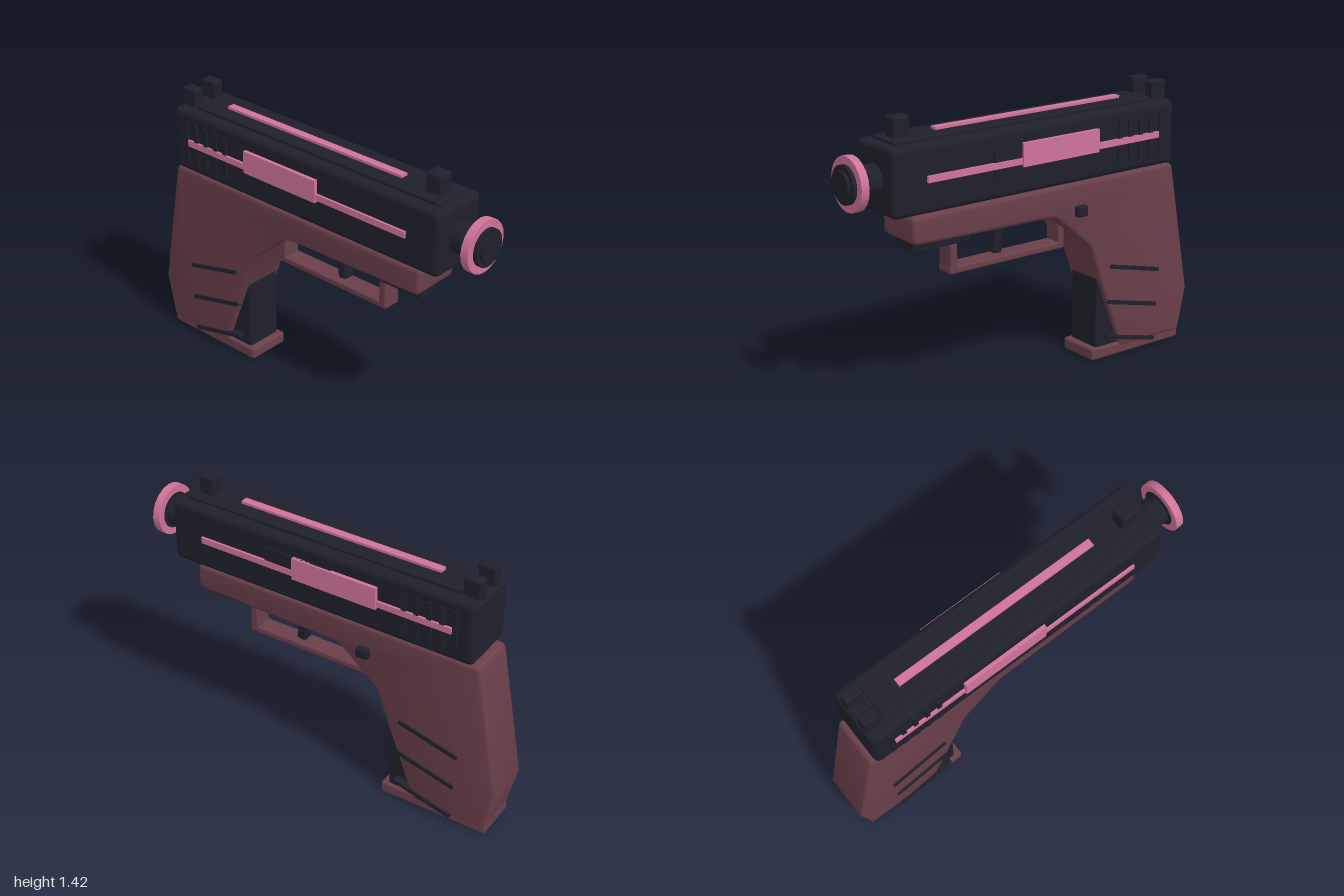
import * as THREE from 'three';
import { toCreasedNormals } from 'three/addons/utils/BufferGeometryUtils.js';
import { RoundedBoxGeometry } from 'three/addons/geometries/RoundedBoxGeometry.js';

export function createModel() {
  const model = new THREE.Group();
  model.name = 'toyBlaster';
  const material = (name, color) => {
    const m = new THREE.MeshStandardMaterial({ color });
    m.name = name;
    return m;
  };
  const dark = material('charcoal', 0x20202c);
  const maroon = material('maroon', 0x6a3f4a);
  const pink = material('pink', 0xd0739a);

  const add = (name, geometry, mat) => {
    const mesh = new THREE.Mesh(geometry, mat);
    mesh.name = name;
    model.add(mesh);
    return mesh;
  };
  // Box given by its extents; r > 0 rounds the edges
  const box = (name, mat, [x0, x1], [y0, y1], [z0, z1], r = 0) => {
    const s = [x1 - x0, y1 - y0, z1 - z0];
    const g = r ? new RoundedBoxGeometry(...s, 2, r) : new THREE.BoxGeometry(...s);
    const mesh = add(name, g, mat);
    mesh.position.set((x0 + x1) / 2, (y0 + y1) / 2, (z0 + z1) / 2);
    return mesh;
  };
  // Cylinder along x at barrel height
  const disc = (name, mat, radius, x0, x1, sides = 24) => {
    const g = new THREE.CylinderGeometry(radius, radius, x1 - x0, sides).rotateZ(-Math.PI / 2);
    add(name, g, mat).position.set((x0 + x1) / 2, 1.14, 0);
  };

  // Slide with top plate and stripe
  box('slide', dark, [-0.85, 0.82], [0.977, 1.305], [-0.153, 0.153], 0.03);
  box('topPlate', dark, [-0.74, 0.77], [1.28, 1.322], [-0.095, 0.095], 0.01);
  box('topStripe', pink, [-0.6, 0.5], [1.318, 1.335], [-0.02, 0.02]);

  // Sights
  box('frontSight', dark, [0.65, 0.737], [1.29, 1.417], [-0.04, 0.04], 0.012);
  for (const s of [-1, 1]) {
    const z = s * 0.066;
    box('rearSight', dark, [-0.84, -0.75], [1.28, 1.397], [z - 0.03, z + 0.03], 0.012);
  }

  // Barrel and muzzle
  disc('barrel', dark, 0.074, 0.78, 0.94);
  disc('muzzleRing', pink, 0.13, 0.925, 0.965, 20);
  disc('muzzleDisc', dark, 0.092, 0.92, 0.985);
  disc('muzzleCap', dark, 0.07, 0.98, 1.0);

  // Details on both sides of the slide and grip
  for (const s of [-1, 1]) {
    const layer = (a, b) => (s > 0 ? [a, b] : [-b, -a]);
    box('sideStripe', pink, [-0.74, 0.64], [1.127, 1.159], layer(0.15, 0.165));
    box('sidePanel', pink, [-0.35, 0.11], [1.115, 1.23], layer(0.15, 0.172));
    for (let i = 0; i < 5; i++) {
      const x = -0.755 + i * 0.066;
      box('slideSerration', dark, [x - 0.012, x + 0.012], [1.03, 1.25], layer(0.145, 0.163));
    }
    for (let i = 0; i < 3; i++) {
      const y = 0.455 - i * 0.187;
      const line = box('gripLine', dark, [-0.165, 0.165], [y - 0.01, y + 0.01], layer(0.1, 0.138));
      line.position.x = -0.63 + i * 0.01;
      line.rotation.z = 0.245;
    }
  }
  box('sidePort', dark, [-0.1, 0.27], [1.07, 1.23], [-0.161, -0.145]);
  box('sideButton', dark, [-0.3, -0.235], [0.798, 0.852], [-0.158, -0.11], 0.01);

  // Frame and grip as one bevelled outline
  const outline = new THREE.Shape();
  outline.moveTo(-0.95, 0.045);
  outline.lineTo(-0.555, 0.045);
  outline.lineTo(-0.42, 0.4);
  outline.lineTo(-0.34, 0.625);
  outline.lineTo(-0.155, 0.785);
  outline.quadraticCurveTo(-0.12, 0.815, -0.08, 0.816);
  outline.lineTo(0.3, 0.822);
  outline.lineTo(0.67, 0.83);
  outline.quadraticCurveTo(0.702, 0.83, 0.702, 0.86);
  outline.lineTo(0.702, 0.94);
  outline.quadraticCurveTo(0.702, 0.966, 0.675, 0.966);
  outline.lineTo(-0.85, 0.966);
  outline.quadraticCurveTo(-0.872, 0.966, -0.878, 0.94);
  outline.lineTo(-1.0, 0.27);
  outline.closePath();
  const bevel = 0.018;
  const frame = new THREE.ExtrudeGeometry(outline, {
    depth: 0.256 - 2 * bevel, curveSegments: 5, bevelEnabled: true,
    bevelSize: bevel, bevelThickness: bevel, bevelOffset: -bevel, bevelSegments: 3,
  });
  frame.translate(0, 0, -0.128 + bevel);
  add('frameAndGrip', toCreasedNormals(frame, 0.55), maroon);

  // Magazine and base plate
  box('magazine', dark, [-0.65, -0.405], [0.05, 0.435], [-0.1, 0.1], 0.012);
  box('basePlate', maroon, [-0.955, -0.37], [0, 0.063], [-0.117, 0.117], 0.014);

  // Trigger, guard and accessory rail
  const trigger = box('trigger', dark, [0.123, 0.173], [0.665, 0.84], [-0.03, 0.03], 0.01);
  trigger.rotation.z = 0.14;
  box('guardBottom', maroon, [-0.235, 0.45], [0.62, 0.655], [-0.05, 0.05], 0.01);
  box('guardFront', maroon, [0.405, 0.448], [0.63, 0.79], [-0.05, 0.05], 0.01);
  box('guardRear', maroon, [-0.235, -0.198], [0.63, 0.78], [-0.05, 0.05], 0.01);
  box('accessoryRail', dark, [0.345, 0.67], [0.775, 0.84], [-0.066, 0.066], 0.008);

  return model;
}
